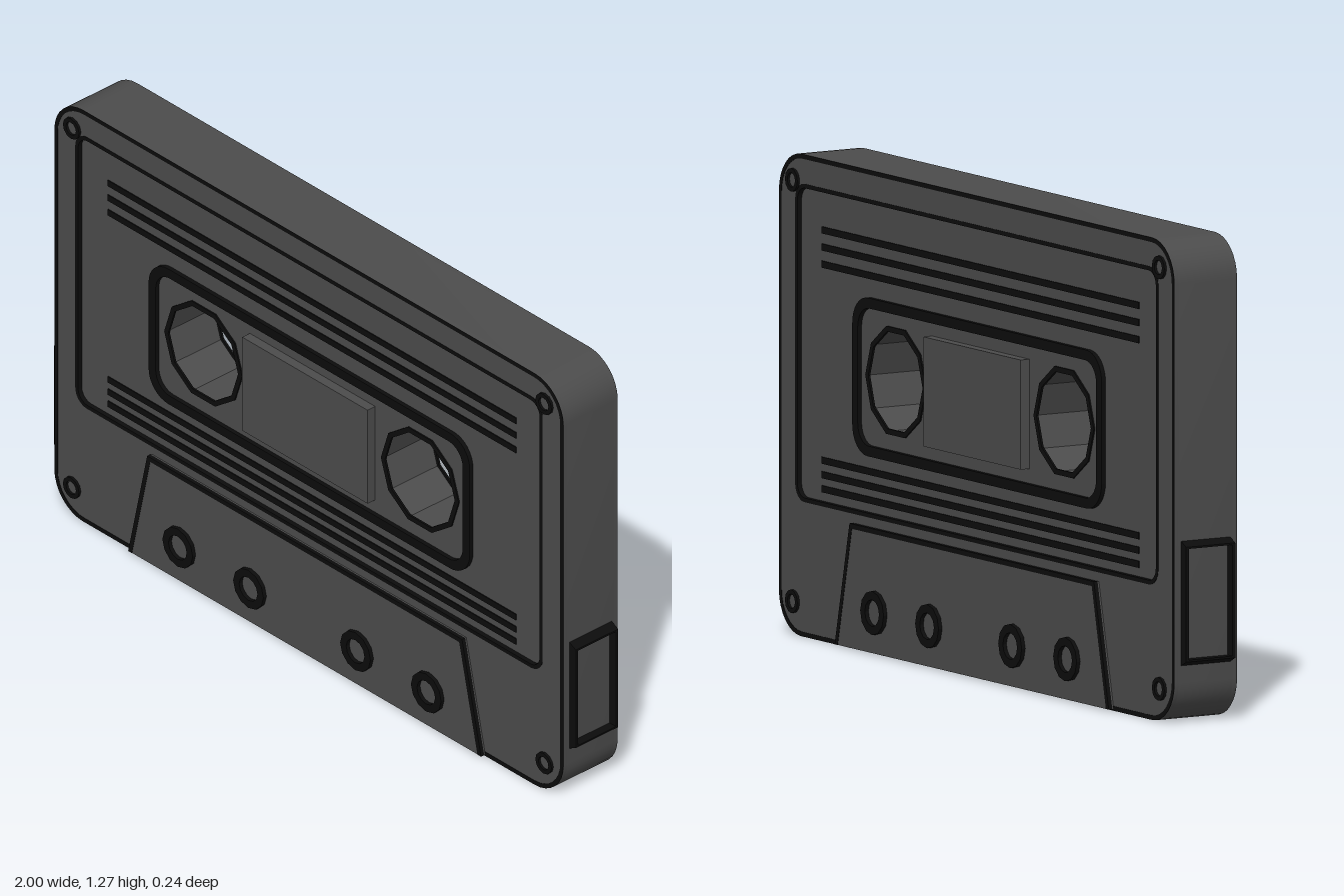
import * as THREE from 'three';
import { toCreasedNormals } from 'three/addons/utils/BufferGeometryUtils.js';

const grey = new THREE.MeshStandardMaterial({ color: 0x4c4c4c });
const black = new THREE.MeshStandardMaterial({ color: 0x0c0c0c });

// Rounded rectangle between two corners
function roundRect(x0, y0, x1, y1, r, Type = THREE.Shape) {
  const s = new Type();
  s.moveTo(x0 + r, y0);
  s.lineTo(x1 - r, y0);
  s.absarc(x1 - r, y0 + r, r, -Math.PI / 2, 0);
  s.lineTo(x1, y1 - r);
  s.absarc(x1 - r, y1 - r, r, 0, Math.PI / 2);
  s.lineTo(x0 + r, y1);
  s.absarc(x0 + r, y1 - r, r, Math.PI / 2, Math.PI);
  s.lineTo(x0, y0 + r);
  s.absarc(x0 + r, y0 + r, r, Math.PI, Math.PI * 1.5);
  return s;
}

// Regular polygon with a vertex on its right
function polygon(x, y, r, sides) {
  const pts = [];
  for (let i = 0; i < sides; i++) {
    const a = (i / sides) * Math.PI * 2;
    pts.push(new THREE.Vector2(x + r * Math.cos(a), y + r * Math.sin(a)));
  }
  return new THREE.Shape(pts);
}

const points = (list) => new THREE.Shape(list.map(([x, y]) => new THREE.Vector2(x, y)));

function withHoles(shape, ...holes) {
  shape.holes.push(...holes);
  return shape;
}

// Flat plate between two depths
function plate(name, shape, z0, z1, material) {
  const low = Math.min(z0, z1);
  const geo = new THREE.ExtrudeGeometry(shape, { depth: Math.abs(z1 - z0), bevelEnabled: false, curveSegments: 4 });
  geo.translate(0, 0, low);
  const mesh = new THREE.Mesh(toCreasedNormals(geo, 0.5), material);
  mesh.name = name;
  return mesh;
}

const ring = (x, y, outer, inner, sides) =>
  withHoles(polygon(x, y, outer, sides), polygon(x, y, inner, sides));

const FACE = 0.095, FLOOR = 0.083, HUB_X = 0.415, HUB_Y = 0.727;

// All details of one face; s is +1 for the front, -1 for the back
function faceDetails(s) {
  const g = new THREE.Group();
  g.name = s > 0 ? 'frontFace' : 'backFace';
  const add = (name, shape, z0, z1, mat) => g.add(plate(name, shape, s * z0, s * z1, mat));

  // Raised rim around the label recess, with its outlines
  add('faceRim', withHoles(roundRect(-0.975, 0.003, 0.975, 1.27, 0.11), roundRect(-0.89, 0.362, 0.89, 1.188, 0.04)),
    FLOOR, FACE, grey);
  add('faceOutline', withHoles(roundRect(-0.975, 0.003, 0.975, 1.27, 0.11), roundRect(-0.963, 0.015, 0.963, 1.258, 0.1)),
    FACE, FACE + 0.001, black);
  add('labelOutline', withHoles(roundRect(-0.895, 0.357, 0.895, 1.193, 0.045), roundRect(-0.884, 0.368, 0.884, 1.182, 0.036)),
    FLOOR, FACE + 0.001, black);

  // Label stripes
  for (const y of [1.08, 1.035, 0.99, 0.475, 0.437, 0.4]) {
    add('labelStripe', points([[-0.782, y - 0.009], [0.782, y - 0.009], [0.782, y + 0.009], [-0.782, y + 0.009]]),
      FLOOR, FLOOR + 0.003, black);
  }

  // Window frame, pane and hub rims
  add('windowFrame', withHoles(roundRect(-0.615, 0.517, 0.615, 0.933, 0.075), roundRect(-0.588, 0.544, 0.588, 0.906, 0.055)),
    FLOOR, FACE, black);
  add('windowPane', points([[-0.24, 0.582], [0.24, 0.582], [0.24, 0.87], [-0.24, 0.87]]), FLOOR, 0.11, grey);
  for (const x of [-HUB_X, HUB_X]) {
    add('hubRim', ring(x, HUB_Y, 0.149, 0.134, 10), FLOOR - 0.002, FLOOR + 0.004, black);
  }

  // Raised trapezoid at the bottom, with its edge line
  add('headPanel', points([[-0.675, 0.007], [0.675, 0.007], [0.602, 0.333], [-0.602, 0.333]]), FACE - 0.005, 0.11, grey);
  add('headPanelOutline', points([[-0.676, 0.007], [-0.603, 0.334], [0.603, 0.334], [0.676, 0.007],
    [0.662, 0.007], [0.592, 0.321], [-0.592, 0.321], [-0.662, 0.007]]), 0.1, 0.111, black);
  for (const x of [-0.476, -0.205, 0.205, 0.476]) {
    add('guideRing', ring(x, 0.115, 0.058, 0.035, 12), 0.1, 0.121, black);
  }

  // Corner screws
  for (const x of [-0.905, 0.905]) {
    for (const y of [0.09, 1.197]) add('cornerScrew', ring(x, y, 0.031, 0.019, 12), FACE - 0.005, 0.102, black);
  }
  return g;
}

export function createModel() {
  const model = new THREE.Group();
  model.name = 'cassette';

  // Body core pierced by the two hub holes
  const core = withHoles(roundRect(-0.975, 0.003, 0.975, 1.27, 0.11),
    polygon(-HUB_X, HUB_Y, 0.142, 10), polygon(HUB_X, HUB_Y, 0.142, 10));
  model.add(plate('body', core, -FLOOR, FLOOR, grey));

  model.add(faceDetails(1), faceDetails(-1));

  // Open frames on the two narrow sides, tapered at their outer edge
  for (const s of [-1, 1]) {
    const frame = withHoles(points([[-0.075, 0.155], [0.075, 0.155], [0.075, 0.487], [-0.075, 0.487]]),
      points([[-0.067, 0.175], [0.067, 0.175], [0.067, 0.467], [-0.067, 0.467]]));
    const geo = new THREE.ExtrudeGeometry(frame, { depth: 0.03, bevelEnabled: false });
    const p = geo.attributes.position;
    for (let i = 0; i < p.count; i++) {
      const y = p.getY(i);
      if (p.getZ(i) > 0.02 && (y < 0.16 || y > 0.48)) p.setY(i, y + (y < 0.3 ? 0.015 : -0.015));
    }
    geo.computeVertexNormals();
    const tab = new THREE.Mesh(geo, black);
    tab.name = s > 0 ? 'leftSideFrame' : 'rightSideFrame';
    tab.rotation.y = s * Math.PI / 2;
    tab.position.x = s * 0.97;
    model.add(tab);
  }
  return model;
}
